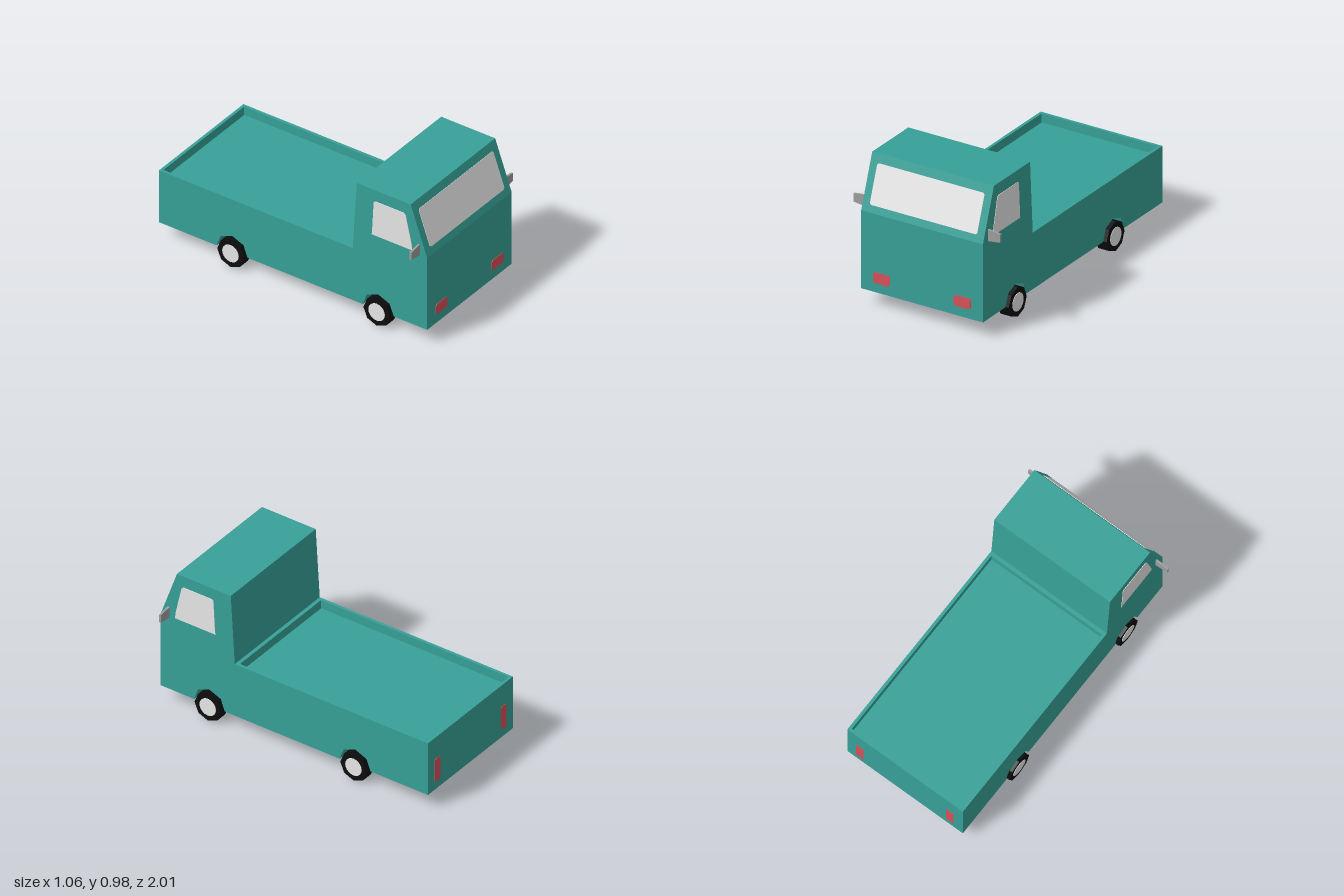
import * as THREE from 'three';

const mat = (name, color, flatShading = false) => {
  const m = new THREE.MeshStandardMaterial({ color, flatShading });
  m.name = name;
  return m;
};

export function createModel() {
  const teal = mat('tealPaint', 0x37a198);
  const glass = mat('paleGlass', 0xececec);
  const red = mat('redLens', 0xd95259);
  const grey = mat('greyMirror', 0x9e9e9e);
  const black = mat('blackRubber', 0x0d0d0d, true);

  const group = new THREE.Group();
  const add = (name, geometry, material, parent = group) => {
    const mesh = new THREE.Mesh(geometry, material);
    mesh.name = name;
    parent.add(mesh);
    return mesh;
  };

  // Extrude a [z, y] outline across the width from x0 to x1
  const slab = (points, x0, x1) => {
    const shape = new THREE.Shape(points.map(([z, y]) => new THREE.Vector2(-z, y)));
    return new THREE.ExtrudeGeometry(shape, { depth: x1 - x0, bevelEnabled: false })
      .rotateY(Math.PI / 2).translate(x0, 0, 0);
  };

  // Thin plate with clipped corners, facing +z
  const plate = (x0, x1, y0, y1, c) => {
    const shape = new THREE.Shape([
      [x0 + c, y0], [x1 - c, y0], [x1, y0 + c], [x1, y1 - c],
      [x1 - c, y1], [x0 + c, y1], [x0, y1 - c], [x0, y0 + c],
    ].map(([x, y]) => new THREE.Vector2(x, y)));
    return new THREE.ExtrudeGeometry(shape, { depth: 0.004, bevelEnabled: false });
  };

  const base = 0.105, bedTop = 0.485, bedFloor = 0.425, halfWidth = 0.44;
  const axles = [0.635, -0.455];

  // Cab and bed outline, optionally with wheel arches
  const outline = (bed, arches) => {
    const p = [[1, base], [1, 0.63], [0.877, 0.975], [0.475, 0.975], [0.445, bedTop]];
    if (bed < bedTop) p.push([0.42, bedTop], [0.42, bed]);
    p.push([-1, bed], [-1, base]);
    if (arches) for (const z of [...axles].reverse()) {
      p.push([z - 0.115, base], [z - 0.085, 0.185], [z, 0.22], [z + 0.085, 0.185], [z + 0.115, base]);
    }
    return p;
  };

  // Body: middle, arched flanks, and full-height side walls
  add('bodyCore', slab(outline(bedFloor, false), -0.36, 0.36), teal);
  for (const [side, s] of [['left', 1], ['right', -1]]) {
    const span = (a, b) => (s > 0 ? [a, b] : [-b, -a]);
    add(side + 'Flank', slab(outline(bedFloor, true), ...span(0.36, 0.42)), teal);
    add(side + 'SideWall', slab(outline(bedTop, true), ...span(0.42, halfWidth)), teal);

    // Side window
    add(side + 'Window', slab([
      [0.89, 0.645], [0.885, 0.69], [0.842, 0.88], [0.83, 0.895], [0.615, 0.895],
      [0.603, 0.885], [0.59, 0.655], [0.585, 0.645],
    ], ...span(halfWidth - 0.001, halfWidth + 0.003)), glass);

    // Door mirror, tapering outwards
    const mirror = new THREE.Shape([
      new THREE.Vector2(s * 0.43, 0.63), new THREE.Vector2(s * 0.53, 0.643),
      new THREE.Vector2(s * 0.53, 0.698), new THREE.Vector2(s * 0.43, 0.71),
    ]);
    add(side + 'Mirror', new THREE.ExtrudeGeometry(mirror, { depth: 0.014, bevelEnabled: false })
      .translate(0, 0, 0.932), grey);

    // Headlight and tail light
    add(side + 'Headlight', plate(...span(0.23, 0.353), 0.167, 0.24, 0.012)
      .translate(0, 0, 0.999), red);
    add(side + 'TailLight', plate(...span(0.315, 0.37), 0.163, 0.328, 0.004)
      .rotateY(Math.PI).translate(0, 0, -0.999), red);

    // Wheels with hub caps
    axles.forEach((z, i) => {
      const wheel = new THREE.Group();
      wheel.name = side + (i ? 'RearWheel' : 'FrontWheel');
      wheel.position.set(s * 0.415, 0.1, z);
      add('tyre', new THREE.CylinderGeometry(0.1, 0.1, 0.08, 8).rotateZ(Math.PI / 2), black, wheel);
      add('hubCap', new THREE.CylinderGeometry(0.061, 0.061, 0.006, 20).rotateZ(Math.PI / 2), glass, wheel)
        .position.x = s * 0.04;
      group.add(wheel);
    });
  }

  // Tailgate rim closing the bed
  add('tailgate', new THREE.BoxGeometry(0.84, bedTop - bedFloor, 0.02)
    .translate(0, (bedTop + bedFloor) / 2, -0.99), teal);

  // Windscreen lying on the sloped cab front
  const windscreen = add('windscreen', plate(-0.388, 0.388, 0.048, 0.308, 0.01), glass);
  windscreen.position.set(0, 0.63, 0.999);
  windscreen.rotation.x = -Math.atan2(0.123, 0.345);

  return group;
}
